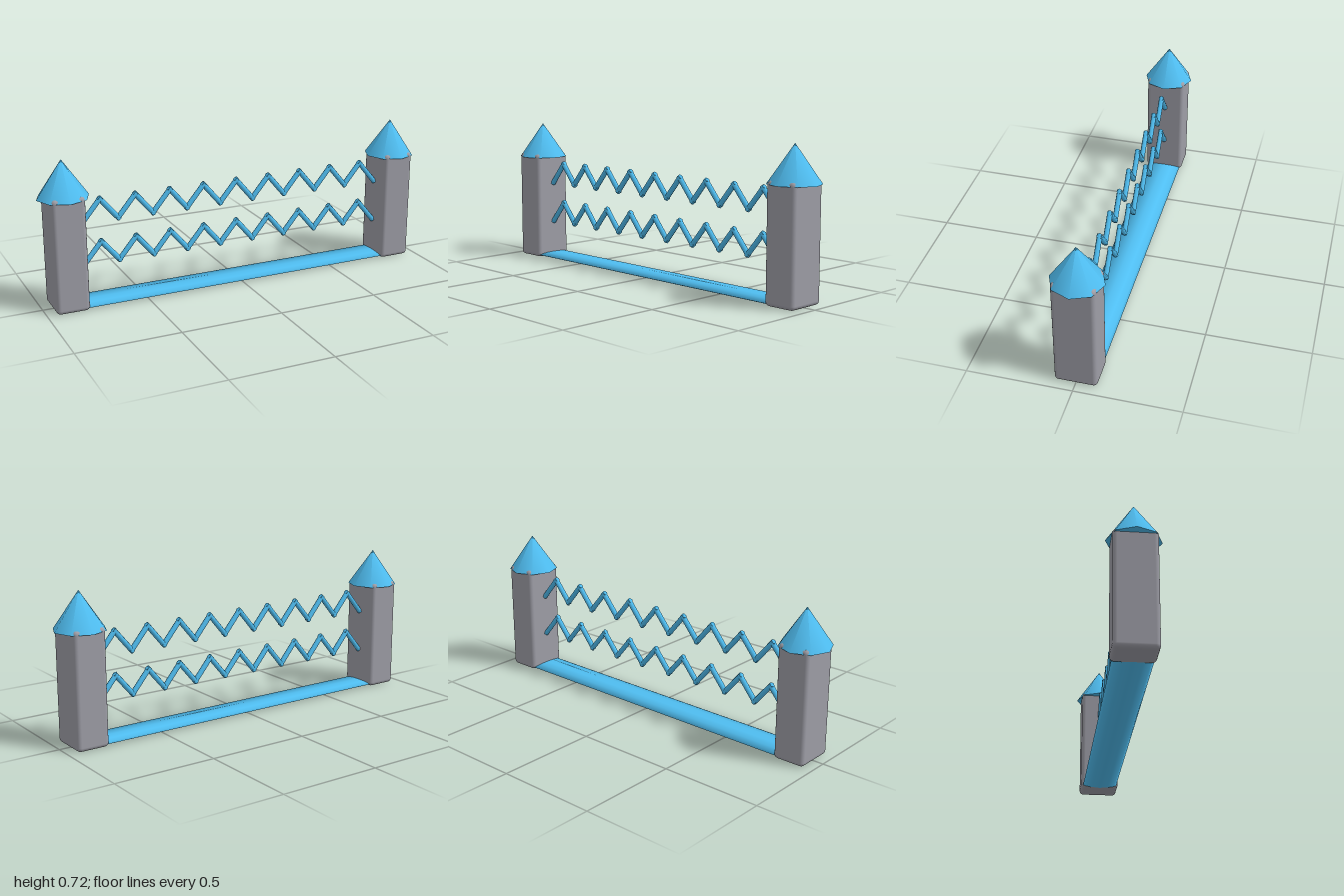
import * as THREE from 'three';
import { RoundedBoxGeometry } from 'three/addons/geometries/RoundedBoxGeometry.js';

const blue = new THREE.MeshStandardMaterial({ color: 0x4fbdf0 });
const stone = new THREE.MeshStandardMaterial({ color: 0x9d9da6 });

function add(parent, name, geometry, material, x = 0, y = 0, z = 0) {
  const mesh = new THREE.Mesh(geometry, material);
  mesh.name = name;
  mesh.position.set(x, y, z);
  parent.add(mesh);
  return mesh;
}

// Zigzag bolt of short round rods whose ends overlap at each bend
function zigzag(name, yMid) {
  const bolt = new THREE.Group();
  bolt.name = name;
  const count = 18, step = 0.0875, amp = 0.052, overlap = 0.01;
  const length = Math.hypot(step, 2 * amp) + 2 * overlap;
  const rod = new THREE.CylinderGeometry(0.013, 0.013, length, 8);
  const tilt = Math.atan2(step, 2 * amp);
  for (let i = 0; i < count; i++) {
    const x = (i - (count - 1) / 2) * step;
    const mesh = add(bolt, 'boltRod', rod, blue, x, yMid, 0);
    mesh.rotation.z = i % 2 ? tilt : -tilt;
  }
  return bolt;
}

export function createModel() {
  const model = new THREE.Group();
  model.name = 'electricGate';

  // Two rounded posts with eight-sided pointed caps
  for (const side of [-1, 1]) {
    const post = new THREE.Group();
    post.name = side > 0 ? 'leftPost' : 'rightPost';
    post.position.x = side * 0.875;
    add(post, 'pillar', new RoundedBoxGeometry(0.16, 0.56, 0.2, 3, 0.02), stone, 0, 0.28, 0);
    add(post, 'cap', new THREE.ConeGeometry(0.125, 0.18, 8), blue, 0, 0.63, 0);
    model.add(post);
  }

  // Flattened ground rail, keeping the soft shading of a round bar
  const rail = new THREE.CylinderGeometry(0.09, 0.09, 1.75, 12);
  rail.rotateZ(Math.PI / 2);
  const p = rail.attributes.position;
  for (let i = 0; i < p.count; i++) p.setY(i, p.getY(i) * 0.115);
  add(model, 'groundRail', rail, blue, 0, 0.0105, 0);

  // Two bolts spanning the gap
  model.add(zigzag('upperBolt', 0.456), zigzag('lowerBolt', 0.246));
  return model;
}
